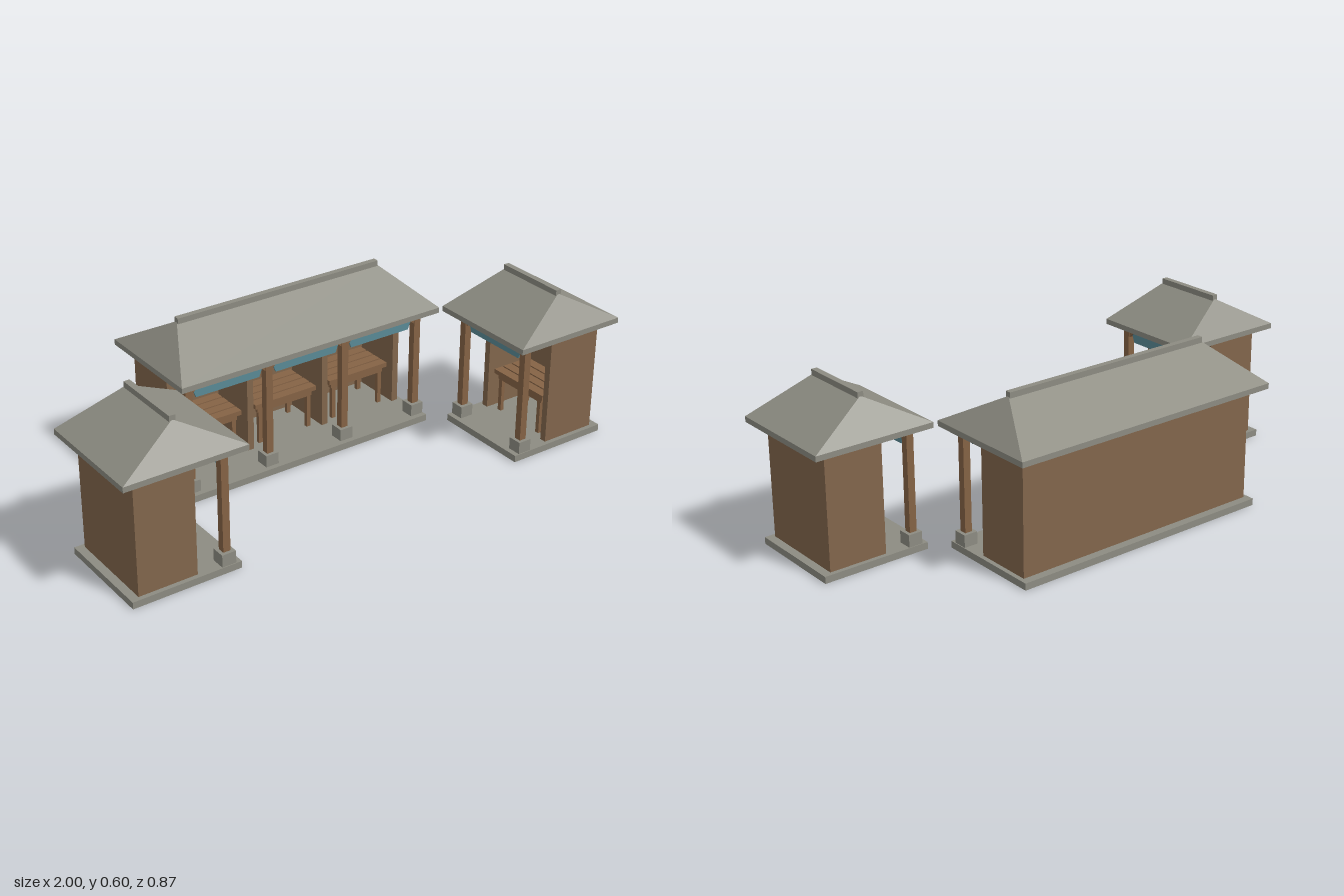
import * as THREE from 'three';

const mat = (name, color) => {
  const m = new THREE.MeshStandardMaterial({ color });
  m.name = name;
  return m;
};
const stone = mat('grey stone', 0x8d8c82);
const wall = mat('brown wall', 0x82664c);
const timber = mat('timber', 0x856345);
const teal = mat('teal valance', 0x5a8a96);
teal.side = THREE.DoubleSide;

const BAY = 0.32;

// Box given by its minimum and maximum corners
function box(parent, name, material, [x0, y0, z0], [x1, y1, z1]) {
  const g = new THREE.BoxGeometry(x1 - x0, y1 - y0, z1 - z0);
  const mesh = new THREE.Mesh(g, material);
  mesh.position.set((x0 + x1) / 2, (y0 + y1) / 2, (z0 + z1) / 2);
  mesh.name = name;
  parent.add(mesh);
  return mesh;
}

// Upright flat shape in the xy plane with a thickness centred on z
function plate(parent, name, material, points, depth, z) {
  const shape = new THREE.Shape(points.map(([x, y]) => new THREE.Vector2(x, y)));
  const g = new THREE.ExtrudeGeometry(shape, { depth, bevelEnabled: false });
  g.translate(0, 0, z - depth / 2);
  const mesh = new THREE.Mesh(g, material);
  mesh.name = name;
  parent.add(mesh);
}

// Hipped roof: a box whose top corners are pulled in to the ridge
function roof(parent, half, ridgeHalf) {
  box(parent, 'eave', stone, [-half, 0.44, -0.2225], [half, 0.46, 0.2225]);
  const g = new THREE.BoxGeometry(2, 0.12, 2).toNonIndexed();
  const p = g.attributes.position;
  for (let i = 0; i < p.count; i++) {
    const top = p.getY(i) > 0;
    p.setX(i, p.getX(i) * (top ? ridgeHalf : half));
    p.setZ(i, p.getZ(i) * (top ? 0.004 : 0.2225));
  }
  g.computeVertexNormals();
  const hip = new THREE.Mesh(g, stone);
  hip.position.y = 0.52;
  hip.name = 'hippedRoof';
  parent.add(hip);
  box(parent, 'ridgeCap', stone, [-ridgeHalf, 0.574, -0.011], [ridgeHalf, 0.597, 0.011]);
}

// Slatted bench standing against the back wall
function bench(parent, x) {
  const b = new THREE.Group();
  b.name = 'bench';
  b.position.x = x;
  parent.add(b);
  for (let i = 0; i < 4; i++) {
    const z = -0.127 + i * 0.042;
    box(b, 'seatSlat', timber, [-0.13, 0.17, z], [0.13, 0.187, z + 0.036]);
  }
  for (const z of [-0.115, 0.012]) {
    box(b, 'rail', timber, [-0.117, 0.15, z], [0.117, 0.17, z + 0.014]);
    for (const s of [-1, 1])
      box(b, 'benchLeg', timber, [s * 0.104 - 0.008, 0.025, z], [s * 0.104 + 0.008, 0.15, z + 0.014]);
  }
  for (const s of [-1, 1])
    box(b, 'sideRail', timber, [s * 0.104 - 0.007, 0.152, -0.115], [s * 0.104 + 0.007, 0.17, 0.026]);
}

// Open-fronted pavilion facing +z
function pavilion(name, bays, ridgeHalf) {
  const group = new THREE.Group();
  group.name = name;
  const half = (bays * BAY) / 2;
  const postZ = 0.157;

  box(group, 'floorSlab', stone, [-half - 0.029, 0, -0.1975], [half + 0.029, 0.025, 0.2025]);
  box(group, 'backWall', wall, [-half - 0.0125, 0.025, -0.1675], [half + 0.0125, 0.44, -0.1425]);
  roof(group, half + 0.056, ridgeHalf);
  box(group, 'frontBeam', timber, [-half - 0.02, 0.425, postZ - 0.016], [half + 0.02, 0.44, postZ + 0.016]);

  // Partition, post and plinth on each bay line
  for (let i = 0; i <= bays; i++) {
    const x = -half + i * BAY;
    box(group, 'partition', wall, [x - 0.0125, 0.025, -0.1425], [x + 0.0125, 0.44, 0.0475]);
    box(group, 'plinth', stone, [x - 0.026, 0.025, postZ - 0.026], [x + 0.026, 0.07, postZ + 0.026]);
    box(group, 'post', timber, [x - 0.0135, 0.07, postZ - 0.0135], [x + 0.0135, 0.425, postZ + 0.0135]);
    for (const s of [-1, 1]) {
      if ((s < 0 && i === 0) || (s > 0 && i === bays)) continue;
      const e = x + s * 0.0135;
      const pts = [[e, 0.425], [e, 0.393], [e + s * 0.02, 0.412], [e + s * 0.02, 0.425]];
      plate(group, 'bracket', timber, s > 0 ? pts : pts.reverse(), 0.02, postZ);
    }
  }

  // Valance and bench in each bay
  for (let i = 0; i < bays; i++) {
    const x = -half + (i + 0.5) * BAY;
    plate(group, 'valance', teal,
      [[x - 0.126, 0.374], [x + 0.126, 0.374], [x + 0.146, 0.425], [x - 0.146, 0.425]], 0.006, postZ);
    bench(group, x);
  }
  return group;
}

export function createModel() {
  const model = new THREE.Group();
  model.name = 'pavilions';

  const main = pavilion('mainPavilion', 3, 0.418);
  main.position.z = -0.2125;
  model.add(main);

  // Two small pavilions facing each other
  for (const s of [-1, 1]) {
    const side = pavilion(s < 0 ? 'rightPavilion' : 'leftPavilion', 1, 0.1375);
    side.position.set(s * 0.7775, 0, 0.2225);
    side.rotation.y = -s * Math.PI / 2;
    model.add(side);
  }
  return model;
}
